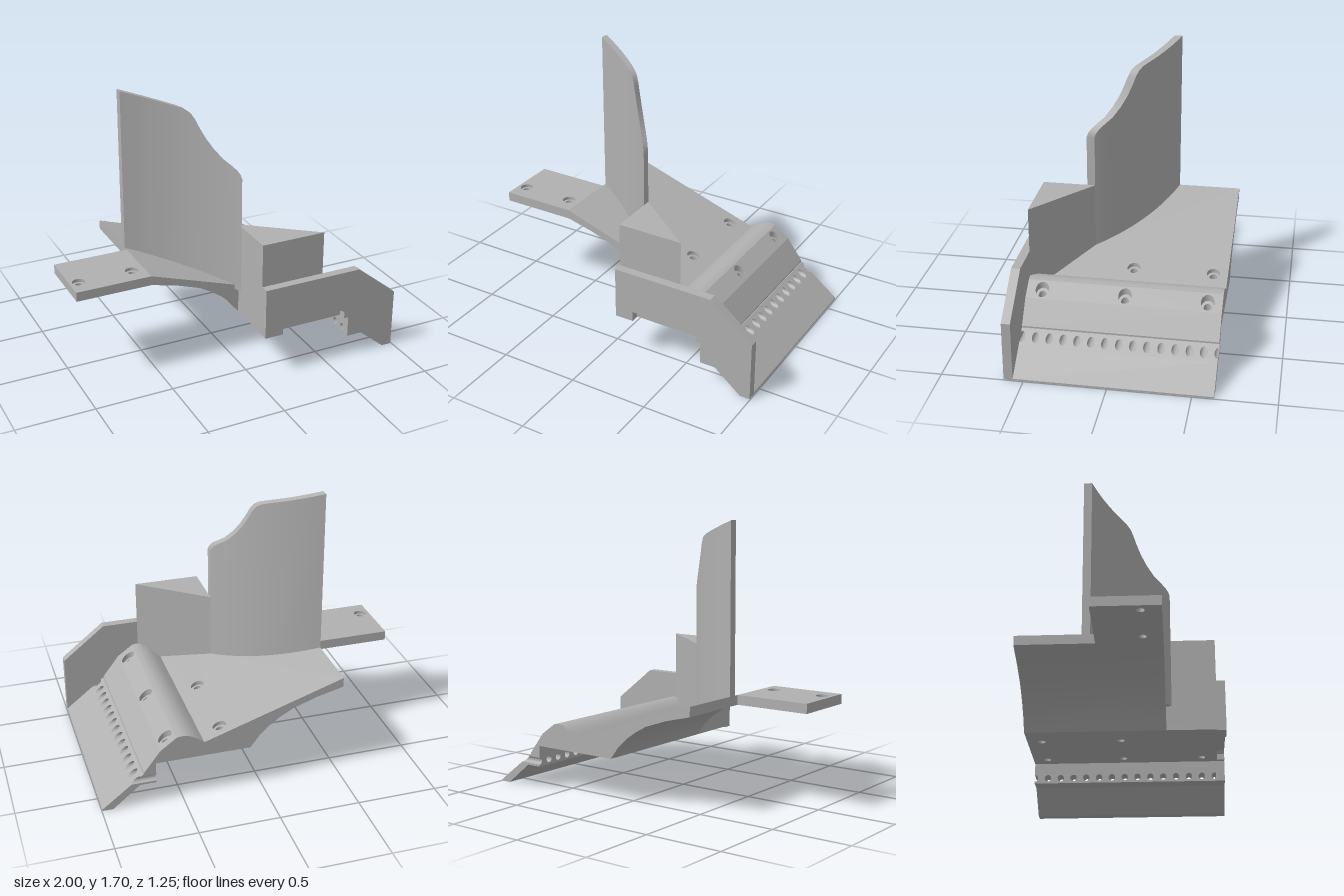
import * as THREE from 'three';
import { toCreasedNormals } from 'three/addons/utils/BufferGeometryUtils.js';

const grey = new THREE.MeshStandardMaterial({ color: 0xb0b0b0 });
grey.name = 'plain grey';

const BACK = -0.63, FRONT = 0.57, FLOOR = 0.275;
const slopeTop = (x) => 0.66 - 0.333 * (x + 0.52);

export function createModel() {
  const model = new THREE.Group();

  const add = (name, geo) => {
    geo.computeVertexNormals();
    const mesh = new THREE.Mesh(toCreasedNormals(geo, 0.5), grey);
    mesh.name = name;
    model.add(mesh);
  };
  const polygon = (pts) => new THREE.Shape(pts.map(([x, y]) => new THREE.Vector2(x, y)));
  const punch = (shape, x, y, r) => {
    const hole = new THREE.Path();
    hole.absarc(x, y, r, 0, Math.PI * 2, true);
    shape.holes.push(hole);
  };
  // Moves every vertex of a geometry by a rule
  const bend = (geo, rule) => {
    const p = geo.attributes.position;
    const v = new THREE.Vector3();
    for (let i = 0; i < p.count; i++) {
      rule(v.fromBufferAttribute(p, i));
      p.setXYZ(i, v.x, v.y, v.z);
    }
    return geo;
  };
  // x-y profile swept along z
  const sweep = (name, pts, z0, z1) => {
    const geo = new THREE.ExtrudeGeometry(polygon(pts), { depth: z1 - z0, bevelEnabled: false });
    add(name, geo.translate(0, 0, z0));
  };
  // Plan outline with screw holes, between a lower and an upper height rule
  const layer = (name, x0, x1, z0, z1, holes, r, low, high) => {
    const shape = polygon([[x0, -z1], [x1, -z1], [x1, -z0], [x0, -z0]]);
    holes.forEach(([x, z]) => punch(shape, x, -z, r));
    const geo = new THREE.ExtrudeGeometry(shape, { depth: 1, bevelEnabled: false, curveSegments: 12 });
    geo.rotateX(-Math.PI / 2);
    add(name, bend(geo, (v) => { v.y = v.y > 0.5 ? high(v.x) : low(v.x); }));
  };
  // Plate whose holes are wider in the upper layer
  const drilledPlate = (name, x0, x1, z0, z1, holes, bottom, top, sink) => {
    const mid = (x) => top(x) - sink;
    layer(name + 'Lower', x0, x1, z0, z1, holes, 0.024, () => bottom, mid);
    layer(name + 'Upper', x0, x1, z0, z1, holes, 0.041, mid, top);
  };

  // Mounting tongue
  drilledPlate('mountingTongue', -1, -0.52, -0.15, 0.25,
    [[-0.94, 0.13], [-0.6, 0.13]], 0.6, () => 0.66, 0.02);

  // Sloping deck with an arched underside
  sweep('archedDeck', [
    [-0.52, 0.66], [-0.52, 0.6], [-0.35, 0.557], [-0.2, 0.505], [-0.12, 0.46],
    [-0.05, 0.41], [0.01, 0.355], [0.07, FLOOR], [0.07, slopeTop(0.07)],
  ], BACK, 0.25);
  drilledPlate('drilledDeck', 0.07, 0.36, BACK, FRONT,
    [[0.24, -0.54], [0.24, -0.04]], FLOOR, slopeTop, 0.025);

  // Rounded ridge
  sweep('ridgeRise', [
    [0.36, FLOOR], [0.53, FLOOR], [0.53, 0.43], [0.505, 0.435], [0.48, 0.435],
    [0.44, 0.424], [0.4, 0.4], [0.36, slopeTop(0.36)],
  ], BACK, FRONT);
  drilledPlate('ridgeCrest', 0.53, 0.63, BACK, FRONT,
    [[0.58, -0.54], [0.58, -0.04], [0.58, 0.47]], FLOOR, (x) => 0.43 - 0.73 * (x - 0.53), 0.04);
  sweep('ridgeFall', [
    [0.63, FLOOR], [0.66, FLOOR], [0.66, 0.205], [0.735, 0.205], [0.735, 0.22], [0.63, 0.357],
  ], BACK, FRONT);

  // Perforated bar: a row of level holes, its face cut to the slope of the lip
  const bar = new THREE.Shape();
  bar.moveTo(-0.6, 0.14);
  bar.lineTo(-BACK, 0.14);
  bar.lineTo(-BACK, 0.153);
  bar.absarc(-BACK, 0.175, 0.022, -Math.PI / 2, Math.PI / 2, true);
  bar.lineTo(-BACK, 0.21);
  bar.lineTo(-0.6, 0.21);
  for (let i = 0; i < 14; i++) punch(bar, -0.555 + i * 0.0845, 0.175, 0.022);
  const barGeo = new THREE.ExtrudeGeometry(bar, { depth: 1, bevelEnabled: false, curveSegments: 12 });
  barGeo.rotateY(Math.PI / 2);
  add('perforatedBar', bend(barGeo, (v) => {
    v.x = v.x > 0.5 ? 0.74 + (0.21 - v.y) * 1.275 : 0.66;
  }));

  // Lip below the bar
  sweep('lip', [[0.76, 0.14], [0.93, 0], [0.995, 0], [0.995, 0.01], [0.829, 0.14]], BACK, FRONT);

  // End plate with a notched foot
  sweep('endPlate', [
    [0.07, 0.27], [0.19, 0.27], [0.19, 0.335], [0.615, 0.335], [0.63, 0.315], [0.63, 0.275],
    [0.66, 0.275], [0.66, 0.14], [0.76, 0.14], [0.93, 0], [0.995, 0], [0.995, 0.38],
    [0.72, 0.6], [0.07, 0.6],
  ], 0.565, 0.62);

  // Triangular post
  const post = new THREE.ExtrudeGeometry(polygon([[0.07, -0.565], [0.49, -0.565], [0.07, -0.235]]),
    { depth: 0.58, bevelEnabled: false });
  add('triangularPost', post.rotateX(-Math.PI / 2).translate(0, 0.3, 0));

  // Curved guide wall: [x, top height] stations along a curved plan line
  const crest = [
    [-0.52, 1.7], [-0.46, 1.682], [-0.4, 1.664], [-0.34, 1.646], [-0.28, 1.628], [-0.22, 1.61],
    [-0.18, 1.595], [-0.155, 1.575], [-0.135, 1.54], [-0.115, 1.49], [-0.085, 1.425],
    [-0.05, 1.365], [-0.01, 1.31], [0.03, 1.272], [0.05, 1.25], [0.064, 1.225], [0.07, 1.2],
  ];
  const plan = (x) => {
    // Solve the quadratic curve for its parameter at x
    const t = (-0.72 + Math.sqrt(0.5184 + 4 * -0.13 * (x + 0.52))) / (2 * -0.13);
    return -0.23 * (1 - t) ** 2 - 0.16 * t * (1 - t) + 0.235 * t * t;
  };
  const n = crest.length - 1;
  const wall = new THREE.BoxGeometry(1, 1, 1, n, 1, 1);
  add('curvedGuideWall', bend(wall, (v) => {
    const [x, top] = crest[Math.round((v.x + 0.5) * n)];
    v.x = x;
    v.y = v.y > 0 ? top : slopeTop(x) - 0.03;
    v.z = plan(x) + (v.z > 0 ? 0.05 : 0);
  }));

  return model;
}
